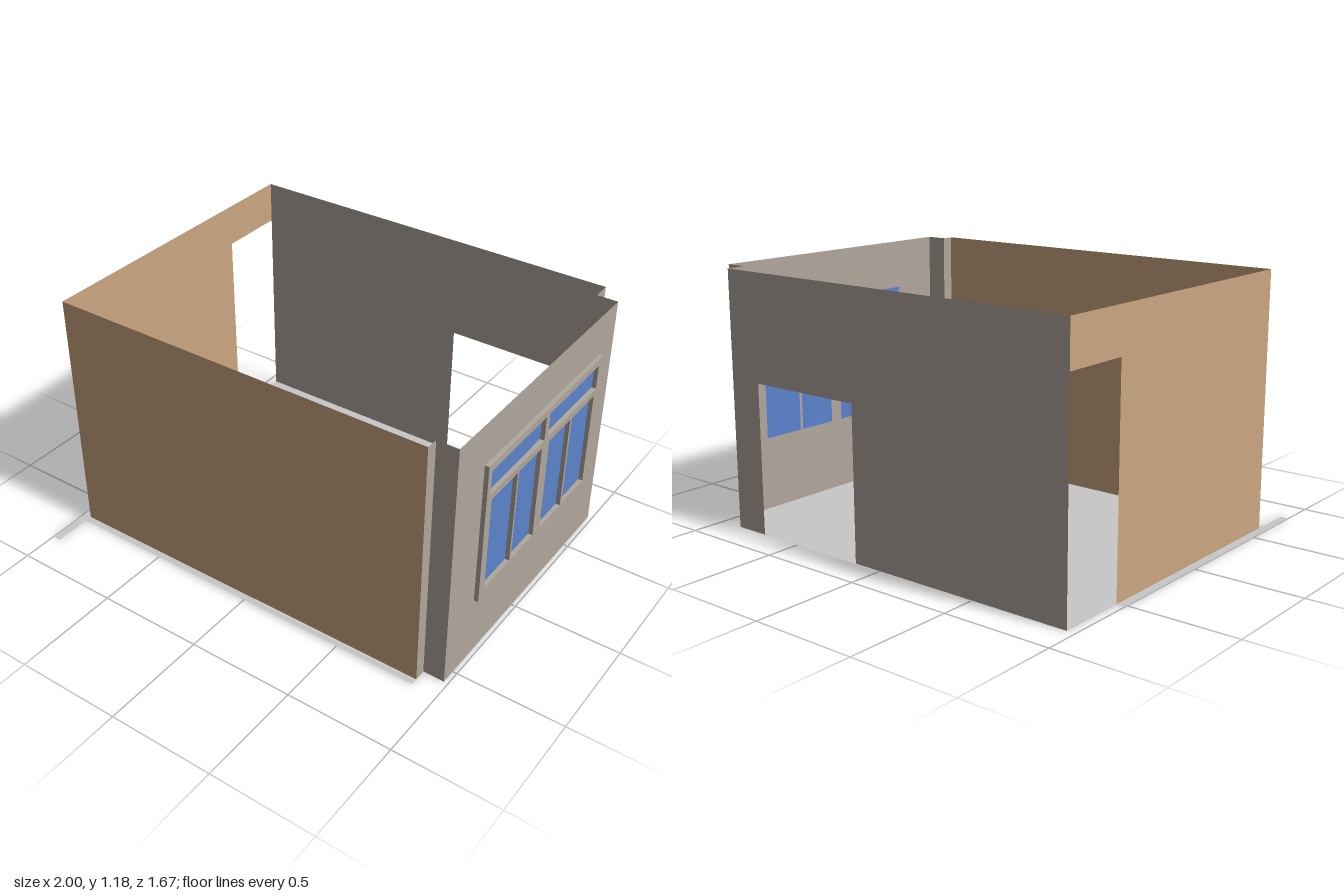
import * as THREE from 'three';

const H = 1.18;                       // wall height
const FRONT = 0.625, BACK = -0.838;   // z of the long walls
const LEFT = -0.96, RIGHT = 0.88, BAY = 0.98;
const BAY_FRONT = 0.57, BAY_BACK = -0.75;

function material(name, color) {
  const m = new THREE.MeshStandardMaterial({ color, side: THREE.DoubleSide });
  m.name = name;
  return m;
}

const shapeOf = pts => new THREE.Shape(pts.map(p => new THREE.Vector2(p[0], p[1])));
const rect = (u0, u1, y0, y1) => [[u0, y0], [u1, y0], [u1, y1], [u0, y1]];

function shapeWithHoles(outline, holes = []) {
  const s = shapeOf(outline);
  holes.forEach(h => s.holes.push(new THREE.Path(h.map(p => new THREE.Vector2(p[0], p[1])))));
  return s;
}

export function createModel() {
  const room = new THREE.Group();
  room.name = 'room';
  const tan = material('tan paint', 0xcba680);
  const grey = material('warm grey paint', 0xb1a79c);
  const floorGrey = material('floor grey', 0xc8c8c8);
  const glass = material('blue glass', 0x5b83cc);

  function add(name, geometry, mat, x = 0, z = 0, turn = 0) {
    const mesh = new THREE.Mesh(geometry, mat);
    mesh.name = name;
    mesh.position.set(x, 0, z);
    mesh.rotation.y = turn;
    room.add(mesh);
    return mesh;
  }

  // Thin upright wall from a to b; outline and holes use distance along it and height
  function wall(name, mat, a, b, outline, holes) {
    const dx = b[0] - a[0], dz = b[1] - a[1];
    const shape = shapeWithHoles(outline || rect(0, Math.hypot(dx, dz), 0, H), holes);
    return add(name, new THREE.ShapeGeometry(shape), mat, a[0], a[1], Math.atan2(-dz, dx));
  }

  // Floor with corner notches and the narrow strip along the left side
  const floor = new THREE.ShapeGeometry(shapeOf([
    [LEFT, 0.842], [RIGHT, 0.842], [RIGHT, 0.75], [BAY, 0.75], [BAY, -0.57], [RIGHT, -0.57],
    [RIGHT, -0.657], [LEFT, -0.657], [LEFT, -0.832], [-1, -0.832], [-1, 0.52], [LEFT, 0.52],
  ]));
  floor.rotateX(-Math.PI / 2);
  add('floor', floor, floorGrey);

  // Tan walls; the side wall has a doorway against the back corner
  wall('frontWall', tan, [LEFT, FRONT], [RIGHT, FRONT]);
  const depth = FRONT - BACK, door = FRONT + 0.515;
  wall('doorWall', tan, [LEFT, FRONT], [LEFT, BACK],
    [[0, 0], [door, 0], [door, 0.98], [depth, 0.98], [depth, H], [0, H]]);

  // Back wall with a low wide opening
  const o0 = RIGHT - 0.713, o1 = RIGHT - 0.14, len = RIGHT - LEFT;
  wall('backWall', grey, [RIGHT, BACK], [LEFT, BACK],
    [[0, 0], [o0, 0], [o0, 0.692], [o1, 0.692], [o1, 0], [len, 0], [len, H], [0, H]]);

  // Stepped corners beside the window wall
  wall('frontCornerSide', grey, [RIGHT, FRONT], [RIGHT, BAY_FRONT]);
  wall('frontCornerStep', grey, [RIGHT, BAY_FRONT], [BAY, BAY_FRONT]);
  wall('backCornerStep', grey, [BAY, BAY_BACK], [RIGHT, BAY_BACK]);
  wall('backCornerSide', grey, [RIGHT, BAY_BACK], [RIGHT, BACK]);

  // Window panes: z start, z end, bottom, top
  const panes = [
    [0.336, -0.108, 0.832, 0.948], [-0.139, -0.583, 0.832, 0.948],
    [0.32, 0.11, 0.341, 0.8], [0.098, -0.094, 0.341, 0.8],
    [-0.157, -0.348, 0.341, 0.8], [-0.363, -0.57, 0.341, 0.8],
  ].map(([z0, z1, y0, y1]) => rect(BAY_FRONT - z0, BAY_FRONT - z1, y0, y1));

  wall('windowWall', grey, [BAY, BAY_FRONT], [BAY, BAY_BACK], null, panes);
  panes.forEach((p, i) =>
    wall('windowPane' + (i + 1), glass, [BAY, BAY_FRONT], [BAY, BAY_BACK], p));

  // Raised window frame
  const frame = shapeWithHoles(rect(BAY_FRONT - 0.363, BAY_FRONT + 0.614, 0.295, 0.982), panes);
  add('windowFrame', new THREE.ExtrudeGeometry(frame, { depth: 0.02, bevelEnabled: false }),
    grey, BAY, BAY_FRONT, Math.PI / 2);

  return room;
}
